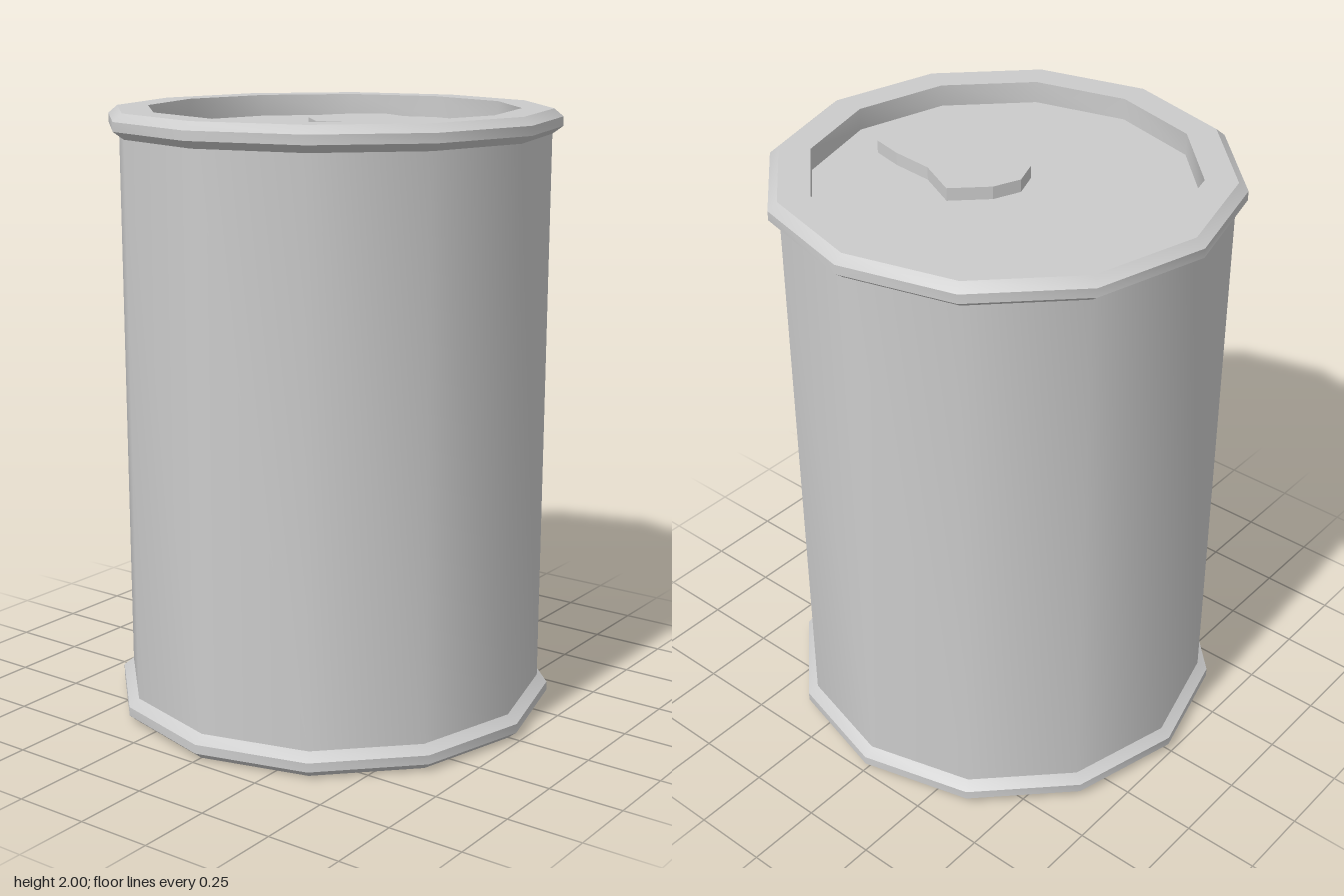
import * as THREE from 'three';
import { toCreasedNormals } from 'three/addons/utils/BufferGeometryUtils.js';

const SIDES = 12;
const BODY_R = 0.703, RIM_R = 0.737, EDGE_R = 0.707, INNER_R = 0.605;
const LID_Y = 1.928, BASE_Y = 0.03;

export function createModel() {
  const group = new THREE.Group();
  group.name = 'can';
  const material = new THREE.MeshStandardMaterial({ color: 0xcccccc });

  const add = (name, geometry) => {
    const mesh = new THREE.Mesh(geometry, material);
    mesh.name = name;
    group.add(mesh);
    return mesh;
  };

  // Revolve a profile; the 30 degree sides stay smooth, profile corners stay sharp
  const lathe = (points) => toCreasedNormals(
    new THREE.LatheGeometry(points.map(([r, y]) => new THREE.Vector2(r, y)), SIDES),
    THREE.MathUtils.degToRad(35)
  );

  // Flat round panel set inside a rim
  const panel = (name, y, up) => {
    const mesh = add(name, new THREE.CircleGeometry(INNER_R, SIDES));
    mesh.rotation.x = up ? -Math.PI / 2 : Math.PI / 2;
    mesh.position.y = y;
  };

  // Side wall
  add('body', lathe([[BODY_R, 0.07], [BODY_R, 1.93]]));

  // Bevelled rims with recessed inner walls
  add('topRim', lathe([
    [BODY_R, 1.92], [RIM_R, 1.945], [RIM_R, 1.975],
    [EDGE_R, 2], [INNER_R, 2], [INNER_R, LID_Y],
  ]));
  add('bottomRim', lathe([
    [INNER_R, BASE_Y], [INNER_R, 0], [EDGE_R, 0],
    [RIM_R, 0.025], [RIM_R, 0.055], [BODY_R, 0.08],
  ]));

  panel('lid', LID_Y, true);
  panel('base', BASE_Y, false);

  // Pull tab: half outline mirrored across its long axis
  const half = [[-0.03, 0.09], [0.07, 0.188], [0.205, 0.122], [0.345, 0.11], [0.45, 0.085]];
  const outline = [
    [-0.065, 0],
    ...half.map(([x, z]) => [x, -z]),
    [0.485, 0],
    ...half.slice().reverse(),
  ].map(([x, z]) => new THREE.Vector2(x, z));
  const tab = add('pullTab', new THREE.ExtrudeGeometry(new THREE.Shape(outline), {
    depth: 0.042, bevelEnabled: false,
  }));
  tab.rotation.x = -Math.PI / 2;
  tab.position.y = LID_Y;

  return group;
}
